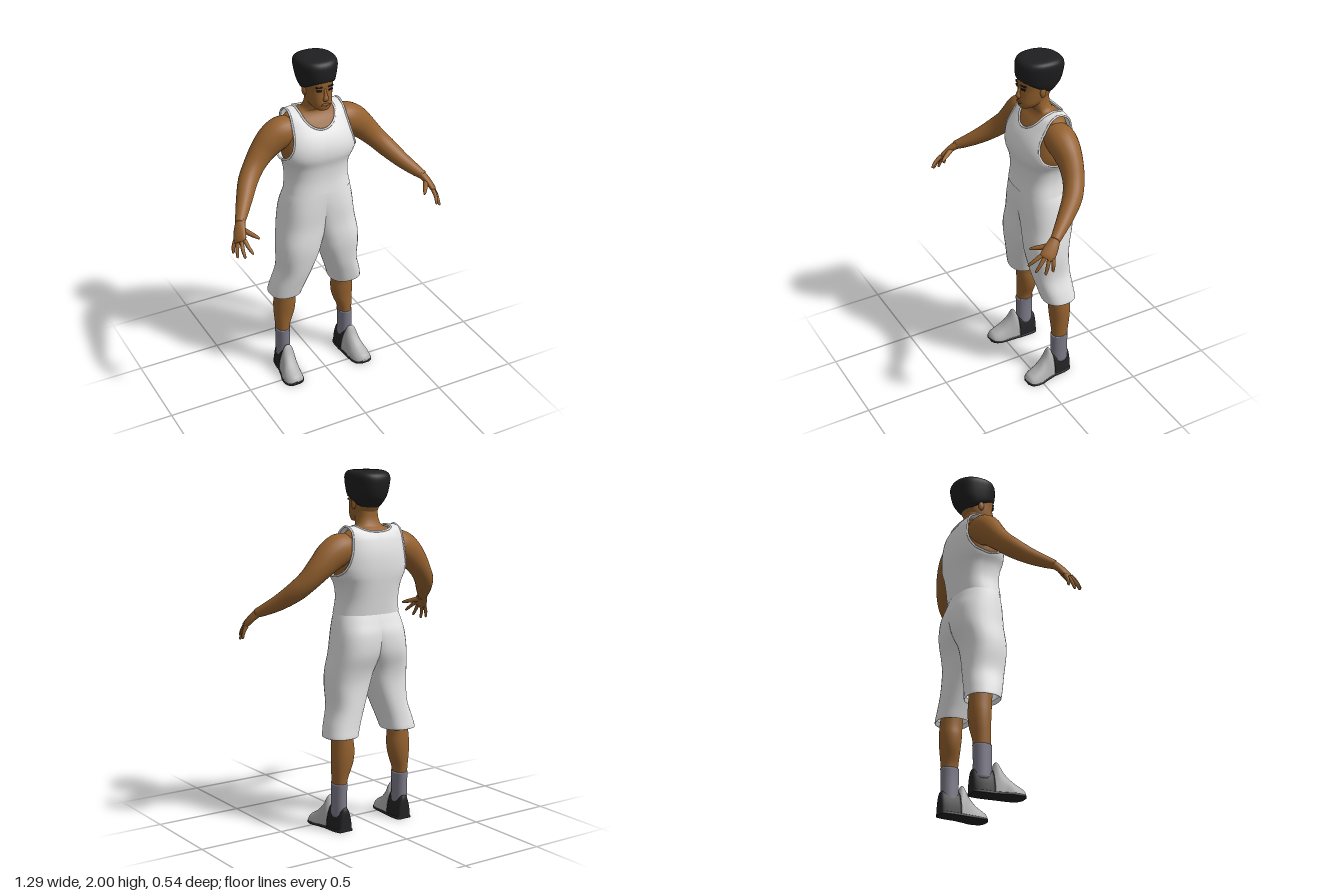
import * as THREE from 'three';
import { mergeGeometries, mergeVertices } from 'three/addons/utils/BufferGeometryUtils.js';

const mat = (name, color, side = THREE.FrontSide) => {
  const m = new THREE.MeshStandardMaterial({ color, side });
  m.name = name;
  return m;
};

// Catmull-Rom resampling of a table, all columns together
function smooth(rows, k = 5) {
  const out = [];
  for (let i = 0; i < rows.length - 1; i++) {
    const a = rows[Math.max(i - 1, 0)], b = rows[i], c = rows[i + 1], d = rows[Math.min(i + 2, rows.length - 1)];
    for (let j = 0; j < k; j++) {
      const t = j / k;
      out.push(b.map((_, n) => 0.5 * (2 * b[n] + (c[n] - a[n]) * t + (2 * a[n] - 5 * b[n] + 4 * c[n] - d[n]) * t * t
        + (3 * b[n] - a[n] - 3 * c[n] + d[n]) * t * t * t)));
    }
  }
  out.push(rows[rows.length - 1]);
  return out;
}

// Linear lookup in a table sorted by its first column
function at(rows, y) {
  let i = 0;
  while (i < rows.length - 2 && rows[i + 1][0] < y) i++;
  const t = THREE.MathUtils.clamp((y - rows[i][0]) / (rows[i + 1][0] - rows[i][0]), 0, 1);
  return rows[i].map((v, n) => v + (rows[i + 1][n] - v) * t);
}

// Skin over closed rings of points; faces are turned outwards
function loft(rings, caps = true) {
  const n = rings[0].length, pos = rings.flat(2), idx = [];
  for (let r = 0; r < rings.length - 1; r++) for (let i = 0; i < n; i++) {
    const a = r * n + i, b = r * n + (i + 1) % n;
    idx.push(a, b, a + n, b, b + n, a + n);
  }
  if (caps) [0, rings.length - 1].forEach((r, e) => {
    const c = pos.length / 3;
    for (let k = 0; k < 3; k++) pos.push(rings[r].reduce((s, p) => s + p[k], 0) / n);
    for (let i = 0; i < n; i++) {
      const a = r * n + i, b = r * n + (i + 1) % n;
      idx.push(...(e ? [a, b, c] : [b, a, c]));
    }
  });
  const v = i => new THREE.Vector3().fromArray(pos, i * 3);
  const mid = new THREE.Vector3();
  for (let i = 0; i < pos.length / 3; i++) mid.addScaledVector(v(i), 3 / pos.length);
  let vol = 0;
  for (let i = 0; i < idx.length; i += 3)
    vol += v(idx[i]).sub(mid).dot(v(idx[i + 1]).sub(mid).cross(v(idx[i + 2]).sub(mid)));
  if (vol < 0) idx.reverse();
  const g = new THREE.BufferGeometry();
  g.setAttribute('position', new THREE.Float32BufferAttribute(pos, 3));
  g.setIndex(idx);
  g.computeVertexNormals();
  return g;
}

const pw = (v, e) => Math.sign(v) * Math.abs(v) ** e;
const angles = n => Array.from({ length: n }, (_, i) => i / n * Math.PI * 2);

// Upright form: rows [y, x0, x1, zFront, zBack, backDrop], s mirrors it in x
const upright = (rows, s = 1, exp = 2.3, caps = true) => loft(smooth(rows).map(([y, x0, x1, zf, zb, drop = 0]) =>
  angles(32).map(a => {
    const c = pw(Math.cos(a), 2 / exp), d = pw(Math.sin(a), 2 / exp);
    return [s * ((x0 + x1) / 2 + (x1 - x0) / 2 * c), y - drop * (1 - d) / 2, (zf + zb) / 2 + (zf - zb) / 2 * d];
  })), caps);
const centred = rows => rows.map(([y, w, zf, zb, d = 0]) => [y, -w, w, zf, zb, d]);

// Limb: rows [x, y, z, radius along ref, radius across]
function limb(rows, s = 1, ref = [0, 0, 1], sides = 16) {
  const pts = smooth(rows);
  return loft(pts.map((p, i) => {
    const a = pts[Math.max(i - 1, 0)], b = pts[Math.min(i + 1, pts.length - 1)];
    const t = new THREE.Vector3(b[0] - a[0], b[1] - a[1], b[2] - a[2]).normalize();
    const u = new THREE.Vector3(...ref).addScaledVector(t, -t.dot(new THREE.Vector3(...ref))).normalize();
    const w = t.clone().cross(u);
    return angles(sides).map(q => {
      const c = Math.cos(q) * p[3], d = Math.sin(q) * p[4];
      return [s * (p[0] + u.x * c + w.x * d), p[1] + u.y * c + w.y * d, p[2] + u.z * c + w.z * d];
    });
  }));
}

// Tank top: rows [y, halfWidth, zFront, zBack], cut by neckline and armholes
const torso = smooth([[1.215, .193, .022, -.238], [1.3, .181, .015, -.25], [1.38, .192, .02, -.262], [1.44, .222, .035, -.27],
  [1.5, .225, .033, -.272], [1.56, .22, .01, -.268], [1.62, .21, -.03, -.255], [1.66, .205, -.062, -.24],
  [1.69, .2, -.1, -.205], [1.7, .2, -.15, -.15]], 6);
const armEdge = [[1.43, .222], [1.45, .21], [1.5, .188], [1.56, .172], [1.62, .165], [1.7, .16]];
const neckLow = f => f > 0 ? 1.6 : 1.67;
const onTorso = (x, y, f) => {
  const [, w, zf, zb] = at(torso, y);
  const d = Math.max(0, 1 - Math.min(1, x / w) ** 2.5) ** 0.4;
  return (zf + zb) / 2 + f * (zf - zb) / 2 * d;
};
const outerX = y => y <= 1.43 ? at(torso, y)[1] : Math.min(at(torso, y)[1], at(armEdge, y)[1]);
const innerX = (y, f) => y <= neckLow(f) ? 0 : .105 * Math.sqrt(Math.max(0, 1 - ((1.7 - y) / (1.7 - neckLow(f))) ** 2));
const span = (a, b, n, e = 1) => Array.from({ length: n }, (_, i) => a + (b - a) * ((i + 1) / n) ** e);
const neckRows = f => [neckLow(f), ...span(neckLow(f), 1.7, 10, 2)];

function shirtPanel(s, f) {
  const ys = [1.215, ...span(1.215, 1.43, 12), ...span(1.43, neckLow(f), 10), ...span(neckLow(f), 1.7, 10, 2)];
  const N = 16, pos = [], idx = [];
  ys.forEach((y, r) => {
    for (let i = 0; i <= N; i++) {
      const x = THREE.MathUtils.lerp(innerX(y, f), outerX(y), Math.sin(i / N * Math.PI / 2));
      pos.push(s * x, y, onTorso(x, y, f));
      if (r && i) {
        const d = r * (N + 1) + i, c = d - 1, b = d - N - 1, a = b - 1;
        idx.push(...(s * f > 0 ? [a, b, c, b, d, c] : [a, c, b, b, c, d]));
      }
    }
  });
  const g = new THREE.BufferGeometry();
  g.setAttribute('position', new THREE.Float32BufferAttribute(pos, 3));
  g.setIndex(idx);
  return g;
}
const piping = (pts, closed) => new THREE.TubeGeometry(new THREE.CatmullRomCurve3(pts, closed), 80, .006, 6, closed);

export function createModel() {
  const model = new THREE.Group();
  const skin = mat('brown skin', 0x96622f), white = mat('white cloth', 0xe6e6e6, THREE.DoubleSide), hair = mat('black hair', 0x1f1f21);
  const sock = mat('grey sock', 0x7d7b89), grey = mat('light grey shoe', 0xb2b2b2), dark = mat('black rubber', 0x232325);
  const eye = mat('dark eye', 0x24160d), lip = mat('lip brown', 0x6a4020);
  const add = (name, geo, m, parent = model) => {
    const mesh = new THREE.Mesh(geo, m);
    mesh.name = name;
    parent.add(mesh);
    return mesh;
  };

  // Chest and neck under the shirt
  add('chestAndNeck', upright(centred([[1.35, .165, 0, -.245], [1.45, .2, .015, -.255], [1.55, .2, -.005, -.255], [1.62, .19, -.045, -.24],
    [1.66, .165, -.075, -.225], [1.685, .11, -.085, -.2], [1.7, .077, -.075, -.185], [1.74, .063, -.06, -.172], [1.8, .06, -.05, -.17]])), skin);

  // Head and face
  add('head', upright(centred([[1.714, .02, -.015, -.07], [1.722, .042, 0, -.1], [1.75, .06, .006, -.15], [1.79, .07, .003, -.18],
    [1.83, .076, 0, -.195], [1.87, .08, .004, -.2], [1.92, .08, 0, -.2]])), skin);
  add('nose', limb([[0, 1.842, -.004, .007, .007], [0, 1.81, .006, .009, .01], [0, 1.79, .009, .012, .017], [0, 1.777, .002, .007, .012]]), skin);
  const lips = add('lips', new THREE.SphereGeometry(1, 16, 10), lip);
  lips.scale.set(.026, .009, .007);
  lips.position.set(0, 1.753, .004);
  add('hair', upright(centred([[1.88, .08, 0, -.175, .09], [1.885, .09, .008, -.2, .075], [1.9, .1, .012, -.235, .045], [1.93, .11, .013, -.252, .01],
    [1.965, .114, .01, -.25], [1.988, .103, -.005, -.225], [1.998, .075, -.035, -.185], [2, .03, -.08, -.14]])), hair);

  // Tank top with bound edges
  const panels = [];
  for (const s of [1, -1]) for (const f of [1, -1]) panels.push(shirtPanel(s, f));
  const shirt = mergeVertices(mergeGeometries(panels), 1e-4);
  shirt.computeVertexNormals();
  add('tankTop', shirt, white);
  const neckPt = (s, f) => y => new THREE.Vector3(s * innerX(y, f), y, onTorso(innerX(y, f), y, f));
  const fr = neckRows(1), bk = neckRows(-1);
  add('neckBinding', piping([...fr.map(neckPt(1, 1)), ...bk.slice(0, -1).reverse().map(neckPt(1, -1)),
    ...bk.slice(1).map(neckPt(-1, -1)), ...fr.slice(1, -1).reverse().map(neckPt(-1, 1))], true), white);

  for (const s of [1, -1]) {
    const side = new THREE.Group();
    side.name = s > 0 ? 'leftSide' : 'rightSide';
    model.add(side);
    const edge = f => y => new THREE.Vector3(s * outerX(y), y, onTorso(outerX(y), y, f));
    const ys = [1.43, 1.436, ...span(1.436, 1.7, 12)];
    add('armholeBinding', piping([...ys.map(edge(1)), ...ys.slice(1, -1).reverse().map(edge(-1))], true), white, side);

    // Eye, brow and ear
    const box = (name, w, h, y, m) => {
      const b = add(name, new THREE.BoxGeometry(w, h, .009), m, side);
      b.position.set(s * .034, y, -.004);
      b.rotation.y = s * .25;
    };
    box('eye', .026, .008, 1.836, eye);
    box('brow', .036, .008, 1.856, hair);
    const ear = add('ear', new THREE.SphereGeometry(1, 12, 10), skin, side);
    ear.scale.set(.011, .03, .018);
    ear.position.set(s * .077, 1.815, -.1);

    // Arm and hand
    add('arm', limb([[.14, 1.585, -.14, .08, .075], [.2, 1.575, -.14, .085, .088], [.26, 1.54, -.14, .078, .085], [.32, 1.485, -.135, .066, .072],
      [.38, 1.42, -.115, .058, .06], [.435, 1.36, -.075, .054, .055], [.49, 1.3, -.005, .045, .045], [.54, 1.255, .065, .034, .034],
      [.572, 1.23, .11, .027, .025]], s, [0, 0, 1], 24), skin, side);
    const across = [.5, -.26, -.82];
    add('palm', limb([[.562, 1.24, .098, .026, .024], [.585, 1.205, .135, .036, .02], [.6, 1.172, .168, .041, .016],
      [.605, 1.158, .182, .034, .01]], s, across), skin, side);
    const fingers = [[-.033, .57, 1.125, .264], [-.011, .605, 1.097, .24], [.011, .629, 1.082, .197], [.031, .636, 1.092, .157]];
    for (const [o, x, y, z] of fingers) {
      const b = [.602 + across[0] * o, 1.165 + across[1] * o, .172 + across[2] * o];
      add('finger', limb([[...b, .012, .012], [b[0] * .45 + x * .55 + .004, b[1] * .45 + y * .55 + .004, b[2] * .45 + z * .55, .01, .01],
        [x, y, z, .007, .007], [x, y - .004, z + .002, .001, .001]], s, across, 10), skin, side);
    }
    add('thumb', limb([[.578, 1.21, .13, .018, .016], [.55, 1.197, .172, .014, .014], [.528, 1.188, .204, .011, .011],
      [.512, 1.18, .226, .006, .006]], s, [0, 1, 0], 10), skin, side);

    // Baggy shorts, hem turned in at the bottom
    add('shortsLeg', upright([[1.225, -.186, .19, .018, -.233], [1.17, -.15, .205, .02, -.25], [1.1, -.1, .217, .02, -.268], [1.0, -.06, .23, .017, -.266],
      [.9, -.02, .246, .02, -.238], [.82, .002, .25, .015, -.227], [.7, .048, .248, -.005, -.23], [.6, .083, .278, -.03, -.235],
      [.545, .1, .292, -.045, -.24], [.538, .104, .288, -.049, -.236], [.56, .112, .274, -.058, -.228]], s, 2.4, false), white, side);

    // Calf and sock
    add('leg', upright([[.75, .12, .235, -.07, -.2], [.53, .13, .25, -.09, -.217], [.45, .125, .257, -.095, -.22], [.38, .135, .257, -.1, -.215],
      [.3, .165, .252, -.103, -.203], [.24, .174, .248, -.104, -.198]], s, 2.1), skin, side);
    add('sock', upright([[.272, .167, .253, -.097, -.204], [.2, .17, .252, -.098, -.201], [.08, .17, .252, -.098, -.201]], s, 2.1), sock, side);

    // Shoe: rows [z, centre, halfWidth, height]
    const heel = [[-.215, .205, .03, .1], [-.205, .205, .042, .135], [-.16, .208, .051, .142], [-.098, .211, .053, .145]];
    const upper = [[-.098, .211, .052, .144], [-.075, .215, .053, .188], [-.04, .22, .056, .132], [0, .227, .061, .088],
      [.04, .23, .058, .062], [.068, .232, .045, .046], [.083, .232, .02, .026]];
    const shoe = (rows, y0, grow = 0, cut = 1) => loft(smooth(rows, 4).map(([z, c, w, h]) => angles(28).map(a =>
      [s * (c + (w + grow) * pw(Math.cos(a), .75) * (1 - .25 * Math.max(0, Math.sin(a)) * (cut === 1 ? 1 : 0))),
        y0 + Math.max(0, pw(Math.sin(a), .8)) * (Math.min(h, cut) - y0), z])));
    add('heelCounter', shoe(heel, .01), dark, side);
    add('shoeUpper', shoe(upper, .012), grey, side);
    add('sole', shoe([...heel.slice(0, 3), ...upper], 0, .005, .024), dark, side);
  }
  return model;
}
